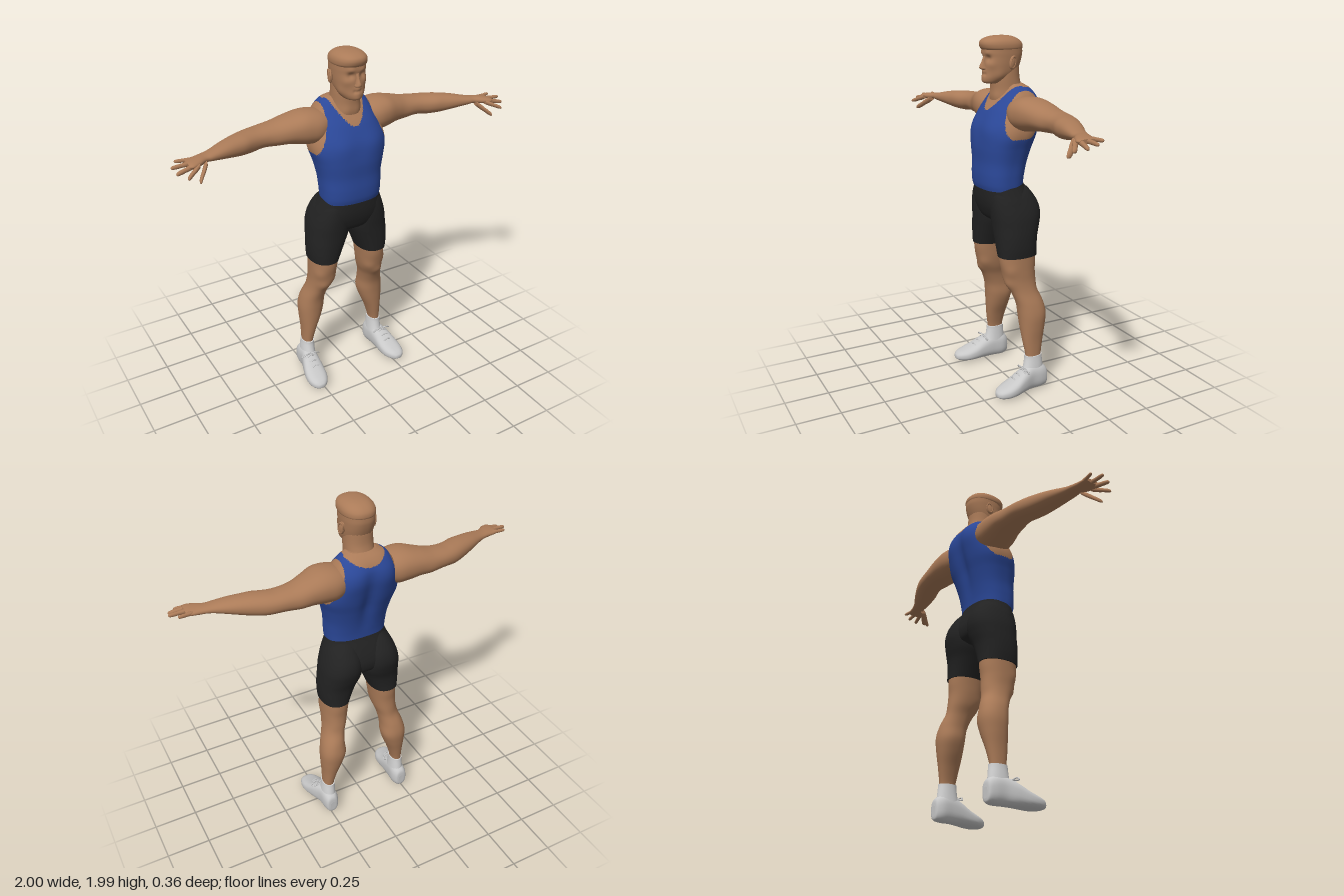
import * as THREE from 'three';

const mat = (name, color) => Object.assign(new THREE.MeshStandardMaterial({ color }), { name });

// Maps (along, u, v) to a point; odd axes need flipped winding.
const AXES = {
  x: { at: (t, u, v) => [t, v, u], flip: true },
  y: { at: (t, u, v) => [u, t, v], flip: true },
  z: { at: (t, u, v) => [u, v, t], flip: false },
};

const catmull = (a, b, c, d, k) =>
  0.5 * (2 * b + (c - a) * k + (2 * a - 5 * b + 4 * c - d) * k * k + (3 * b - a - 3 * c + d) * k * k * k);

// Smooth skin through superellipse sections [along, uMin, uMax, vMin, vMax].
// bumps: [x, y, z, radius, height], pushing the skin outwards.
// split: optional rule giving each triangle's material index.
function loft(axis, stations, { power = 2.2, sides = 40, steps = 6, bumps = [], split } = {}) {
  const { at, flip } = AXES[axis];
  const last = stations.length - 1, rows = last * steps;
  const pos = [], tris = [];
  const face = (a, b, c) => tris.push(flip ? [a, c, b] : [a, b, c]);
  const mids = [];
  for (let i = 0; i <= rows; i++) {
    const s = Math.min(Math.floor(i / steps), last - 1), k = i / steps - s;
    const S = (n) => stations[Math.max(0, Math.min(last, n))];
    const [t, u0, u1, v0, v1] = S(s).map((b, j) => catmull(S(s - 1)[j], b, S(s + 1)[j], S(s + 2)[j], k));
    const cu = (u0 + u1) / 2, cv = (v0 + v1) / 2;
    mids.push(at(t, cu, cv));
    for (let j = 0; j < sides; j++) {
      const a = (j / sides) * Math.PI * 2, c = Math.cos(a), d = Math.sin(a);
      const du = Math.sign(c) * Math.abs(c) ** (2 / power) * (u1 - u0) / 2;
      const dv = Math.sign(d) * Math.abs(d) ** (2 / power) * (v1 - v0) / 2;
      const p = at(t, cu + du, cv + dv);
      let push = 0;
      for (const [x, y, z, r, h] of bumps)
        push += h * Math.exp(-((p[0] - x) ** 2 + (p[1] - y) ** 2 + (p[2] - z) ** 2) / (r * r));
      const f = 1 + push / (Math.hypot(du, dv) || 1);
      pos.push(...at(t, cu + du * f, cv + dv * f));
    }
  }
  for (let i = 0; i < rows; i++) for (let j = 0; j < sides; j++) {
    const a = i * sides + j, b = i * sides + (j + 1) % sides;
    face(a, b, a + sides);
    face(b, b + sides, a + sides);
  }
  // End caps on their own vertices
  for (const row of [0, rows]) {
    const start = pos.length / 3;
    pos.push(...pos.slice(row * sides * 3, (row + 1) * sides * 3), ...mids[row]);
    for (let j = 0; j < sides; j++) {
      const a = start + j, b = start + (j + 1) % sides;
      row ? face(a, b, start + sides) : face(b, a, start + sides);
    }
  }
  const geo = new THREE.BufferGeometry();
  geo.setAttribute('position', new THREE.Float32BufferAttribute(pos, 3));
  if (split) {
    const mean = (tri, c) => (pos[tri[0] * 3 + c] + pos[tri[1] * 3 + c] + pos[tri[2] * 3 + c]) / 3;
    const parts = [[], []];
    for (const tri of tris) parts[split(mean(tri, 0), mean(tri, 1), mean(tri, 2))].push(...tri);
    geo.setIndex(parts.flat());
    geo.addGroup(0, parts[0].length, 0);
    geo.addGroup(parts[0].length, parts[1].length, 1);
  } else geo.setIndex(tris.flat());
  geo.computeVertexNormals();
  return geo;
}

function mirrored(geo) {
  const g = geo.clone().scale(-1, 1, 1), ix = g.index.array;
  for (let i = 0; i < ix.length; i += 3) [ix[i], ix[i + 1]] = [ix[i + 1], ix[i]];
  g.computeVertexNormals();
  return g;
}

// Sections symmetric about x = 0: [y, halfWidth, back, front]
const centred = (rows) => rows.map(([y, w, b, f]) => [y, -w, w, b, f]);
const bothSides = (list) => list.flatMap((b) => [b, [-b[0], ...b.slice(1)]]);

export function createModel() {
  const skin = mat('skin', 0xab7b58), blue = mat('shirt blue', 0x2b4899), black = mat('shorts black', 0x222222);
  const white = mat('sock white', 0xd6d6d6), grey = mat('shoe grey', 0xc8c8c8);
  const model = new THREE.Group();
  model.name = 'athlete';
  const add = (name, geo, material) => {
    const m = new THREE.Mesh(geo, material);
    m.name = name;
    model.add(m);
  };
  const pair = (name, geo, material) => {
    add('left' + name, geo, material);
    add('right' + name, mirrored(geo), material);
  };

  // Torso with tank top: neckline and armholes follow simple curves
  const isSkin = (x, y, z) => {
    const ax = Math.abs(x), bow = (ax / 0.09) ** 2;
    if (y > 1.46 && ax > 0.135 + 0.07 * (Math.max(0, 1.7 - y) / 0.23) ** 1.5) return 1;
    return y > (z > -0.06 ? 1.6 + 0.1 * bow : 1.68 + 0.03 * bow) ? 1 : 0;
  };
  const torsoBumps = bothSides([[0.09, 1.5, 0.14, 0.07, 0.01], [0.11, 1.6, -0.17, 0.07, 0.008]]);
  for (let y = 1.28; y < 1.68; y += 0.05) torsoBumps.push([0, y, -0.15, 0.045, -0.014]);
  add('torso', loft('y', centred([
    [1.17, 0.17, -0.085, 0.146], [1.2, 0.173, -0.086, 0.153], [1.25, 0.176, -0.092, 0.155], [1.32, 0.181, -0.107, 0.152],
    [1.4, 0.198, -0.13, 0.154], [1.47, 0.217, -0.153, 0.145], [1.53, 0.213, -0.168, 0.13], [1.6, 0.188, -0.18, 0.1],
    [1.65, 0.17, -0.177, 0.066], [1.69, 0.148, -0.158, 0.035], [1.72, 0.122, -0.132, 0.012], [1.74, 0.08, -0.1, 0],
  ]), { power: 2.5, sides: 112, steps: 10, bumps: torsoBumps, split: isSkin }), [blue, skin]);

  // Neck
  add('neck', loft('y', centred([
    [1.58, 0.1, -0.13, 0.06], [1.66, 0.09, -0.125, 0.062], [1.71, 0.08, -0.11, 0.064],
    [1.77, 0.077, -0.093, 0.066], [1.83, 0.075, -0.09, 0.06],
  ]), { bumps: bothSides([[0.03, 1.67, 0.06, 0.03, 0.006]]) }), skin);

  // Head: brow, sockets, cheeks, lips and chin shaped as bumps
  add('head', loft('y', centred([
    [1.742, 0.03, 0.03, 0.095], [1.75, 0.046, 0, 0.112], [1.77, 0.062, -0.045, 0.118], [1.8, 0.076, -0.075, 0.114],
    [1.84, 0.083, -0.092, 0.113], [1.88, 0.086, -0.104, 0.112], [1.91, 0.087, -0.108, 0.114],
    [1.95, 0.085, -0.103, 0.108], [1.975, 0.07, -0.08, 0.08], [1.985, 0.04, -0.045, 0.05],
  ]), {
    power: 2.3, sides: 96, steps: 8,
    bumps: [...bothSides([[0.035, 1.878, 0.105, 0.019, -0.013], [0.035, 1.9, 0.11, 0.02, 0.006], [0.052, 1.845, 0.09, 0.024, 0.005],
      [0.062, 1.78, 0.05, 0.03, 0.005], [0.016, 1.793, 0.115, 0.009, -0.005]]),
      [0, 1.803, 0.115, 0.018, 0.006], [0, 1.783, 0.115, 0.016, 0.005], [0, 1.793, 0.115, 0.008, -0.006], [0, 1.755, 0.115, 0.02, 0.007]],
  }), skin);
  add('nose', loft('y', [
    [1.815, -0.012, 0.012, 0.09, 0.118], [1.822, -0.019, 0.019, 0.085, 0.136], [1.835, -0.015, 0.015, 0.085, 0.138],
    [1.86, -0.01, 0.01, 0.085, 0.126], [1.888, -0.011, 0.011, 0.085, 0.114],
  ], { sides: 20 }), skin);
  // Short hair, swept up at the front
  add('hair', loft('y', centred([
    [1.922, 0.086, -0.106, 0.116], [1.932, 0.09, -0.11, 0.125], [1.952, 0.089, -0.106, 0.13], [1.97, 0.08, -0.09, 0.122],
    [1.985, 0.06, -0.063, 0.094], [1.993, 0.033, -0.03, 0.055], [1.995, 0.008, 0, 0.02],
  ]), { power: 2.3, sides: 64 }), skin);
  const ear = new THREE.SphereGeometry(1, 20, 14).scale(0.011, 0.036, 0.021).rotateX(-0.2).rotateY(0.3).translate(0.09, 1.855, -0.012);
  pair('Ear', ear, skin);
  pair('EarRim', new THREE.TorusGeometry(0.022, 0.005, 8, 24).scale(0.75, 1.35, 1).rotateY(Math.PI / 2 + 0.3).rotateX(-0.2).translate(0.097, 1.857, -0.014), skin);

  // Arms, with deltoid, biceps, triceps and forearm bulges
  pair('Arm', loft('x', [
    [0.09, -0.13, 0.03, 1.55, 1.66], [0.17, -0.162, 0.062, 1.505, 1.682], [0.24, -0.168, 0.058, 1.505, 1.685],
    [0.32, -0.165, 0.033, 1.518, 1.668], [0.4, -0.156, 0.006, 1.523, 1.647], [0.48, -0.148, 0.004, 1.526, 1.637],
    [0.55, -0.132, 0.018, 1.521, 1.634], [0.62, -0.104, 0.037, 1.526, 1.631], [0.7, -0.067, 0.054, 1.54, 1.621],
    [0.78, -0.025, 0.066, 1.554, 1.605], [0.82, -0.01, 0.07, 1.559, 1.599], [0.86, 0, 0.095, 1.557, 1.597],
    [0.9, 0.006, 0.112, 1.56, 1.592], [0.92, 0.014, 0.105, 1.565, 1.586],
  ], { bumps: [[0.26, 1.65, 0.02, 0.05, 0.006], [0.4, 1.56, 0, 0.05, 0.007], [0.38, 1.56, -0.15, 0.05, 0.006],
    [0.5, 1.6, -0.07, 0.03, -0.005], [0.58, 1.6, 0.02, 0.04, 0.005]] }), skin);

  // Fingers: root and tip as [x, y, z], plus radius
  const fingers = {
    Thumb: [[0.825, 1.565, 0.07], [0.89, 1.505, 0.142], 0.014],
    Index: [[0.87, 1.572, 0.095], [0.95, 1.54, 0.15], 0.012],
    Middle: [[0.88, 1.576, 0.085], [0.99, 1.555, 0.105], 0.012],
    Ring: [[0.88, 1.577, 0.055], [1.0, 1.572, 0.058], 0.011],
    Little: [[0.87, 1.578, 0.022], [0.965, 1.581, 0.008], 0.01],
  };
  for (const [name, [a, b, r]] of Object.entries(fingers)) {
    const rows = [[0, 1], [0.3, 1.1], [0.55, 0.95], [0.75, 0.95], [0.94, 0.75], [1, 0.15]].map(([k, s]) => {
      const [x, y, z] = a.map((n, i) => n + (b[i] - n) * k), w = r * s;
      const wide = name === 'Thumb' || name === 'Index' ? 1.25 : 1;
      return [x, z - w * wide, z + w * wide, y - w, y + w];
    });
    pair(name + 'Finger', loft('x', rows, { sides: 14, steps: 4 }), skin);
  }

  // Shorts: hips and two legs
  add('shortsHips', loft('y', centred([
    [0.97, 0.06, -0.08, 0.06], [1.0, 0.16, -0.125, 0.105], [1.05, 0.215, -0.138, 0.127], [1.1, 0.208, -0.13, 0.138],
    [1.15, 0.188, -0.112, 0.141], [1.19, 0.172, -0.094, 0.14], [1.21, 0.168, -0.086, 0.136],
  ]), { power: 2.4, sides: 64 }), black);
  pair('ShortsLeg', loft('y', [
    [0.8, 0.075, 0.238, -0.122, 0.104], [0.85, 0.055, 0.243, -0.123, 0.108], [0.91, 0.03, 0.243, -0.13, 0.112],
    [0.97, 0.006, 0.238, -0.148, 0.116], [1.03, 0.0, 0.23, -0.16, 0.122], [1.09, 0.005, 0.212, -0.15, 0.125],
    [1.15, 0.02, 0.185, -0.115, 0.12], [1.19, 0.04, 0.15, -0.08, 0.1],
  ], { power: 2.3 }), black);

  // Legs with knee and calf shaping
  pair('Leg', loft('y', [
    [0.17, 0.207, 0.268, -0.118, -0.028], [0.22, 0.205, 0.268, -0.12, -0.024], [0.3, 0.182, 0.27, -0.134, -0.012],
    [0.38, 0.15, 0.276, -0.15, -0.004], [0.45, 0.132, 0.277, -0.156, 0.002], [0.52, 0.13, 0.265, -0.146, 0.012],
    [0.59, 0.12, 0.243, -0.126, 0.038], [0.65, 0.1, 0.233, -0.116, 0.066], [0.71, 0.088, 0.232, -0.112, 0.083],
    [0.77, 0.08, 0.232, -0.116, 0.096], [0.84, 0.07, 0.232, -0.116, 0.1],
  ], { bumps: [[0.178, 0.635, 0.06, 0.035, 0.01], [0.125, 0.68, 0.05, 0.035, 0.007], [0.215, 0.72, 0.06, 0.035, 0.006],
    [0.15, 0.45, -0.12, 0.05, 0.005], [0.24, 0.47, -0.13, 0.05, 0.004], [0.2, 0.6, -0.12, 0.04, -0.006]] }), skin);

  // Socks and shoes
  pair('Sock', loft('y', [
    [0.1, 0.198, 0.28, -0.135, 0.0], [0.15, 0.2, 0.277, -0.13, -0.012], [0.19, 0.201, 0.274, -0.126, -0.018], [0.21, 0.201, 0.273, -0.125, -0.018],
  ]), white);
  pair('Shoe', loft('z', [
    [-0.152, 0.225, 0.26, 0.03, 0.09], [-0.145, 0.208, 0.278, 0.012, 0.125], [-0.11, 0.194, 0.288, 0.004, 0.148],
    [-0.05, 0.196, 0.293, 0.005, 0.152], [0.01, 0.198, 0.312, 0.004, 0.13], [0.07, 0.2, 0.328, 0.001, 0.095],
    [0.12, 0.208, 0.33, 0.001, 0.074], [0.16, 0.228, 0.318, 0.006, 0.06], [0.18, 0.25, 0.298, 0.014, 0.045], [0.185, 0.268, 0.28, 0.024, 0.034],
  ], { power: 2.5 }), grey);
  const lace = (points) => new THREE.TubeGeometry(
    new THREE.CatmullRomCurve3(points.map((p) => new THREE.Vector3(...p))), 20, 0.004, 6);
  for (let i = 0; i < 3; i++) {
    const z = 0.005 + i * 0.03, y = 0.133 - i * 0.018;
    pair('Lace' + (i + 1), lace([[0.225, y - 0.012, z], [0.258, y + 0.004, z + 0.004], [0.292, y - 0.012, z]]), grey);
  }
  for (const s of [-1, 1])
    pair(s < 0 ? 'InnerBow' : 'OuterBow', lace([[0.256, 0.142, 0.0], [0.256 + s * 0.03, 0.15, 0.012],
      [0.256 + s * 0.058, 0.13, 0.0], [0.256 + s * 0.035, 0.132, -0.012], [0.256, 0.142, 0.0]]), grey);
  return model;
}
